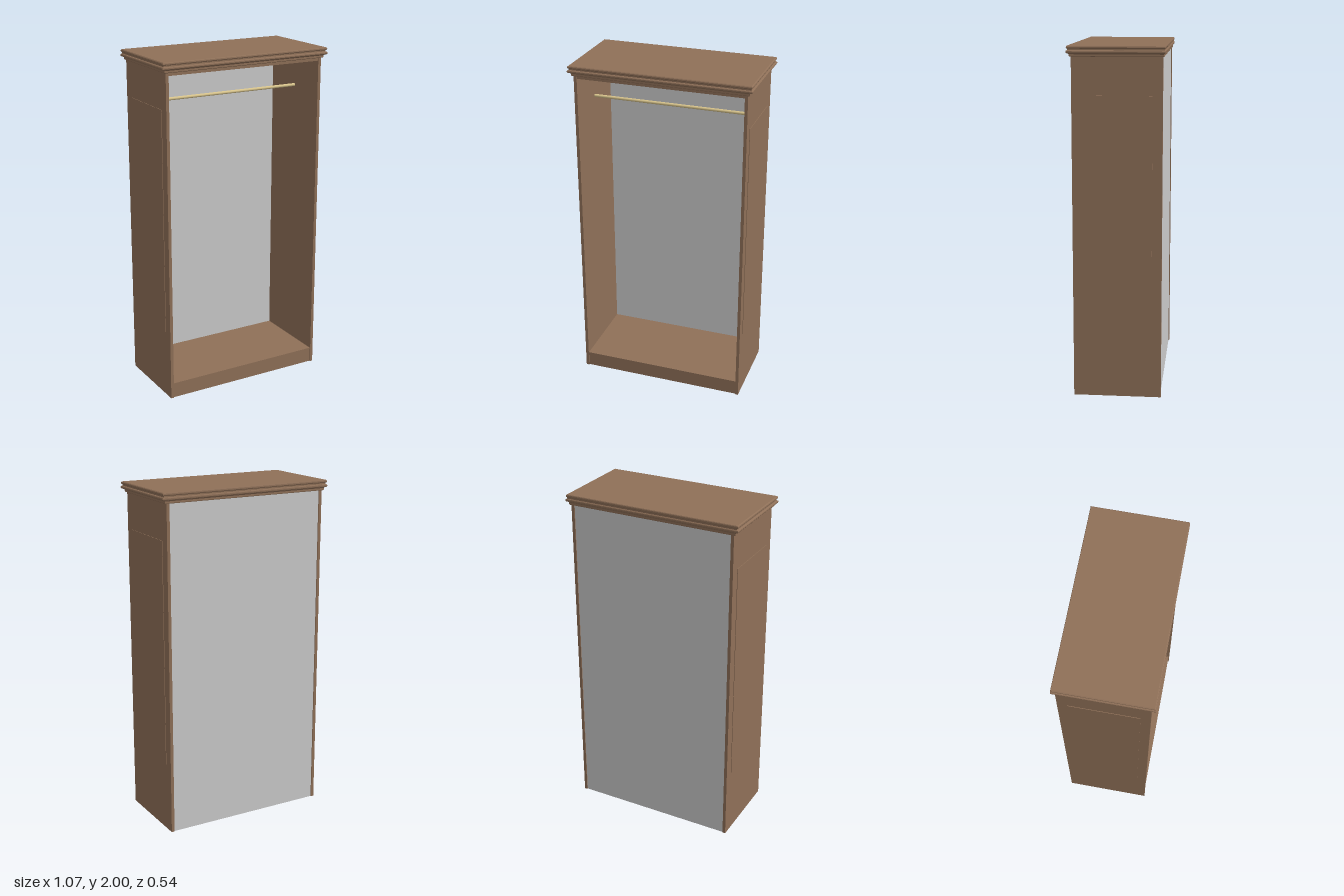
import * as THREE from 'three';

const wood = new THREE.MeshStandardMaterial({ color: 0x8f7058 });
const brass = new THREE.MeshStandardMaterial({ color: 0xd8c48c });
const grey = new THREE.MeshStandardMaterial({ color: 0xcccccc });

const FRONT = 0.245, BACK = -0.256, OUT = 0.504, IN = 0.486;

// Box given by its minimum and maximum corners
function box(name, x0, x1, y0, y1, z0, z1, material = wood) {
  const mesh = new THREE.Mesh(new THREE.BoxGeometry(x1 - x0, y1 - y0, z1 - z0), material);
  mesh.name = name;
  mesh.position.set((x0 + x1) / 2, (y0 + y1) / 2, (z0 + z1) / 2);
  return mesh;
}

// Moulding: rectangular rings stacked along a profile of [overhang, height], capped at both ends
function mouldingGeometry(profile) {
  const positions = [];
  const rings = profile.map(([o, y]) => {
    const x = OUT + o, front = FRONT + o * 0.82, back = BACK - o * 0.48;
    return [[-x, y, front], [x, y, front], [x, y, back], [-x, y, back]];
  });
  const quad = (a, b, c, d) => positions.push(...a, ...b, ...c, ...a, ...c, ...d);
  for (let i = 0; i < rings.length - 1; i++) {
    for (let k = 0; k < 4; k++) {
      const n = (k + 1) % 4;
      quad(rings[i][k], rings[i][n], rings[i + 1][n], rings[i + 1][k]);
    }
  }
  const [b, t] = [rings[0], rings[rings.length - 1]];
  quad(b[3], b[2], b[1], b[0]);
  quad(t[0], t[1], t[2], t[3]);
  const geometry = new THREE.BufferGeometry();
  geometry.setAttribute('position', new THREE.Float32BufferAttribute(positions, 3));
  geometry.computeVertexNormals();
  return geometry;
}

export function createModel() {
  const group = new THREE.Group();
  group.name = 'openWardrobe';

  // Sides, each with a slightly raised field on the outside
  for (const [side, s] of [['left', 1], ['right', -1]]) {
    const a = Math.min(s * IN, s * OUT), b = Math.max(s * IN, s * OUT);
    group.add(box(side + 'Side', a, b, 0, 1.945, BACK, FRONT));
    const p = s * (OUT - 0.004), q = s * (OUT + 0.003);
    group.add(box(side + 'RaisedPanel', Math.min(p, q), Math.max(p, q), 0.41, 1.73, -0.2, 0.19));
  }

  // Back, floor, plinth and ceiling
  group.add(box('backPanel', -IN, IN, 0, 1.942, -0.251, -0.241, grey));
  group.add(box('floorBoard', -IN, IN, 0.07, 0.092, -0.241, 0.241));
  group.add(box('plinth', -IN, IN, 0, 0.084, 0.222, 0.239));
  group.add(box('ceilingBoard', -IN, IN, 1.922, 1.942, -0.241, 0.241));

  // Hanging rail
  const rail = new THREE.Mesh(new THREE.CylinderGeometry(0.009, 0.009, 2 * IN, 20), brass);
  rail.name = 'hangingRail';
  rail.rotation.z = Math.PI / 2;
  rail.position.set(0, 1.742, 0);
  group.add(rail);

  // Stepped cornice
  const cornice = new THREE.Mesh(mouldingGeometry([
    [0.008, 1.94], [0.011, 1.943], [0.011, 1.953], [0.016, 1.957], [0.026, 1.96],
    [0.029, 1.964], [0.029, 1.97], [0.026, 1.974], [0.02, 1.976], [0.02, 1.983],
    [0.025, 1.986], [0.027, 1.99], [0.026, 1.996], [0.021, 2],
  ]), wood);
  cornice.name = 'cornice';
  group.add(cornice);

  return group;
}
